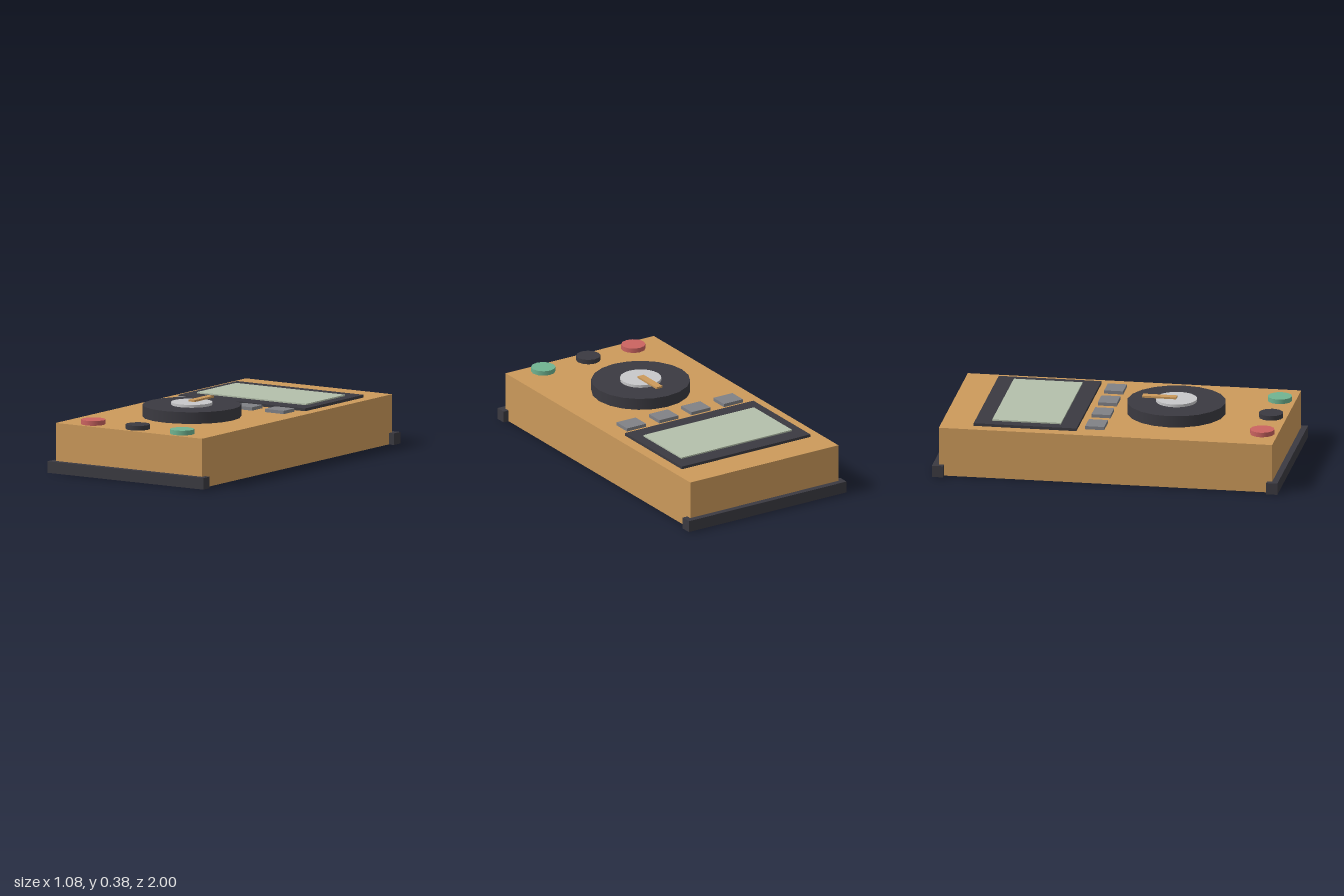
import * as THREE from 'three';

export function createModel() {
  const model = new THREE.Group();
  model.name = 'multimeter';

  const material = (name, color) => {
    const m = new THREE.MeshStandardMaterial({ color });
    m.name = name;
    return m;
  };
  const ochre = material('ochre', 0xcc9a5b);
  const charcoal = material('charcoal', 0x3b3a41);
  const screenGreen = material('screenGreen', 0xb4c0ab);
  const grey = material('grey', 0x808186);
  const silver = material('silver', 0xc8c8ca);
  const red = material('red', 0xcb6360);
  const green = material('green', 0x70b491);

  const add = (name, geometry, mat, x, y, z) => {
    const mesh = new THREE.Mesh(geometry, mat);
    mesh.name = name;
    mesh.position.set(x, y, z);
    model.add(mesh);
  };
  // Both helpers place a part by its bottom and top heights
  const box = (name, mat, w, d, y0, y1, x, z) =>
    add(name, new THREE.BoxGeometry(w, y1 - y0, d), mat, x, (y0 + y1) / 2, z);
  const disc = (name, mat, r, sides, y0, y1, x, z) =>
    add(name, new THREE.CylinderGeometry(r, r, y1 - y0, sides), mat, x, (y0 + y1) / 2, z);

  const top = 0.287; // upper face of the case

  // Case and end bumpers
  box('case', ochre, 1.01, 1.93, 0.001, top, 0, 0);
  for (const [name, side] of [['frontBumper', 1], ['backBumper', -1]]) {
    box(name, charcoal, 1.075, 0.065, 0, 0.067, 0, side * 0.9675);
  }

  // Display
  box('displayBezel', charcoal, 0.876, 0.595, top, 0.303, 0, -0.477);
  box('displayScreen', screenGreen, 0.754, 0.398, 0.303, 0.311, 0, -0.478);

  // Row of four buttons
  for (let i = 0; i < 4; i++) {
    box('button' + (i + 1), grey, 0.13, 0.11, top, 0.306, (i - 1.5) * 0.22, -0.081);
  }

  // Rotary selector with pointer
  disc('dial', charcoal, 0.283, 20, top, 0.354, 0, 0.327);
  disc('dialCap', silver, 0.118, 20, 0.354, 0.37, 0, 0.327);
  box('dialPointer', ochre, 0.042, 0.197, 0.37, 0.381, 0, 0.23);

  // Probe sockets
  [['leftSocket', green, 0.307], ['middleSocket', charcoal, 0], ['rightSocket', red, -0.307]]
    .forEach(([name, mat, x]) => disc(name, mat, 0.07, 12, top, 0.314, x, 0.875));

  return model;
}
